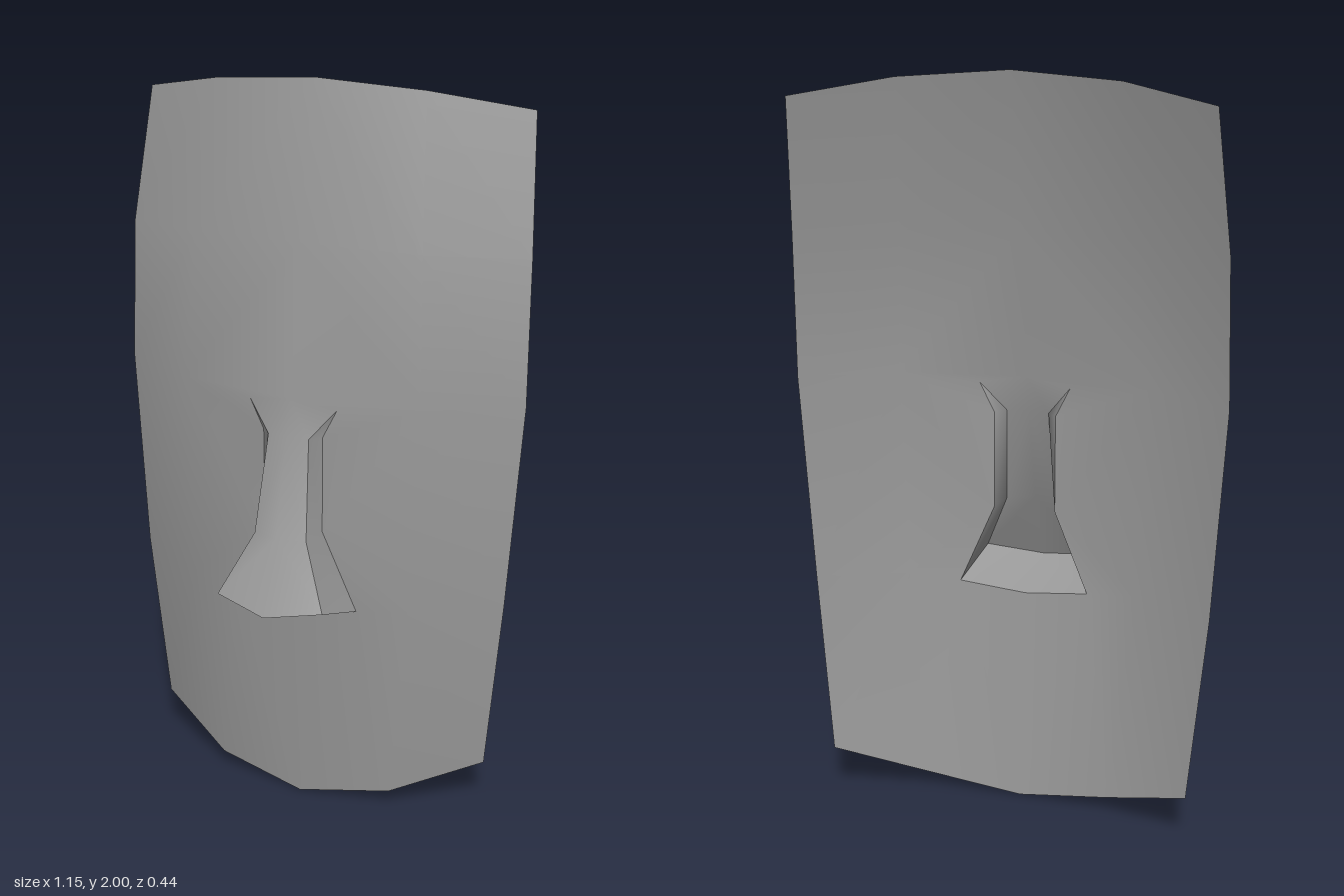
import * as THREE from 'three';
import { mergeVertices } from 'three/addons/utils/BufferGeometryUtils.js';

// Rows of the shell's left half: centre line, cheek line, outer edge
const rows = [
  [[0, 2, -0.09], [0.29, 1.98, -0.12], [0.54, 1.935, -0.22]],
  [[0, 1.6, 0], [0.32, 1.59, -0.042], [0.568, 1.58, -0.153]],
  [[0, 1.2, 0.05], [0.34, 1.2, -0.003], [0.576, 1.2, -0.136]],
  [[0, 0.59, 0.04], [0.32, 0.63, -0.005], [0.544, 0.64, -0.133]],
  [[0, 0, -0.01], [0.26, 0.046, -0.04], [0.5, 0.14, -0.153]],
];

// Nose: outline on the face, edge of the bridge, ridge on the centre line
const base = [[0.125, 1.18, 0.032], [0.085, 1.1, 0.034], [0.085, 0.835, 0.032], [0.18, 0.615, 0.019]];
const bridge = [[0.058, 1.1, 0.061], [0.075, 0.835, 0.112], [0.153, 0.67, 0.18]];
const ridge = [[0, 1.1, 0.073], [0, 0.84, 0.137], [0, 0.645, 0.217]];

// Shell and nose bridge, one continuous smooth surface
function faceFaces() {
  const faces = [];
  for (let r = 0; r < 4; r++) {
    for (let c = r < 2 ? 0 : 1; c < 2; c++) {
      faces.push([rows[r][c], rows[r + 1][c], rows[r + 1][c + 1], rows[r][c + 1]]);
    }
  }
  const [brow, cheekTop] = rows[2];
  const [lip, cheekLow] = rows[3];
  faces.push(
    // cheek beside the nose
    [base[0], base[1], cheekTop],
    [cheekTop, base[1], base[2], cheekLow],
    [base[2], base[3], cheekLow],
    [brow, base[0], cheekTop],
    // chin, fanned from the nostril corner
    [base[3], lip, rows[4][0], rows[4][1], cheekLow],
    // bridge
    [brow, ridge[0], bridge[0], base[0]],
  );
  for (let i = 0; i < 2; i++) faces.push([ridge[i], ridge[i + 1], bridge[i + 1], bridge[i]]);
  return faces;
}

function noseSideFaces() {
  const faces = [[bridge[0], base[1], base[0]]];
  for (let i = 0; i < 2; i++) faces.push([bridge[i], bridge[i + 1], base[i + 2], base[i + 1]]);
  return faces;
}

// Triangulate polygons with their mirror image, smooth within the part
function mirroredPart(name, faces, material) {
  const points = [];
  const flip = ([x, y, z]) => [-x, y, z];
  for (const f of faces) {
    for (let i = 1; i < f.length - 1; i++) {
      points.push(...f[0], ...f[i], ...f[i + 1]);
      points.push(...flip(f[0]), ...flip(f[i + 1]), ...flip(f[i]));
    }
  }
  let geometry = new THREE.BufferGeometry();
  geometry.setAttribute('position', new THREE.Float32BufferAttribute(points, 3));
  geometry = mergeVertices(geometry);
  geometry.computeVertexNormals();
  const mesh = new THREE.Mesh(geometry, material);
  mesh.name = name;
  return mesh;
}

export function createModel() {
  const group = new THREE.Group();
  group.name = 'mask';
  const material = new THREE.MeshStandardMaterial({ color: 0x999999, side: THREE.DoubleSide });
  group.add(
    mirroredPart('faceShell', faceFaces(), material),
    mirroredPart('noseSides', noseSideFaces(), material),
    mirroredPart('noseUnderside', [[ridge[2], rows[3][0], base[3], bridge[2]]], material),
  );
  return group;
}
